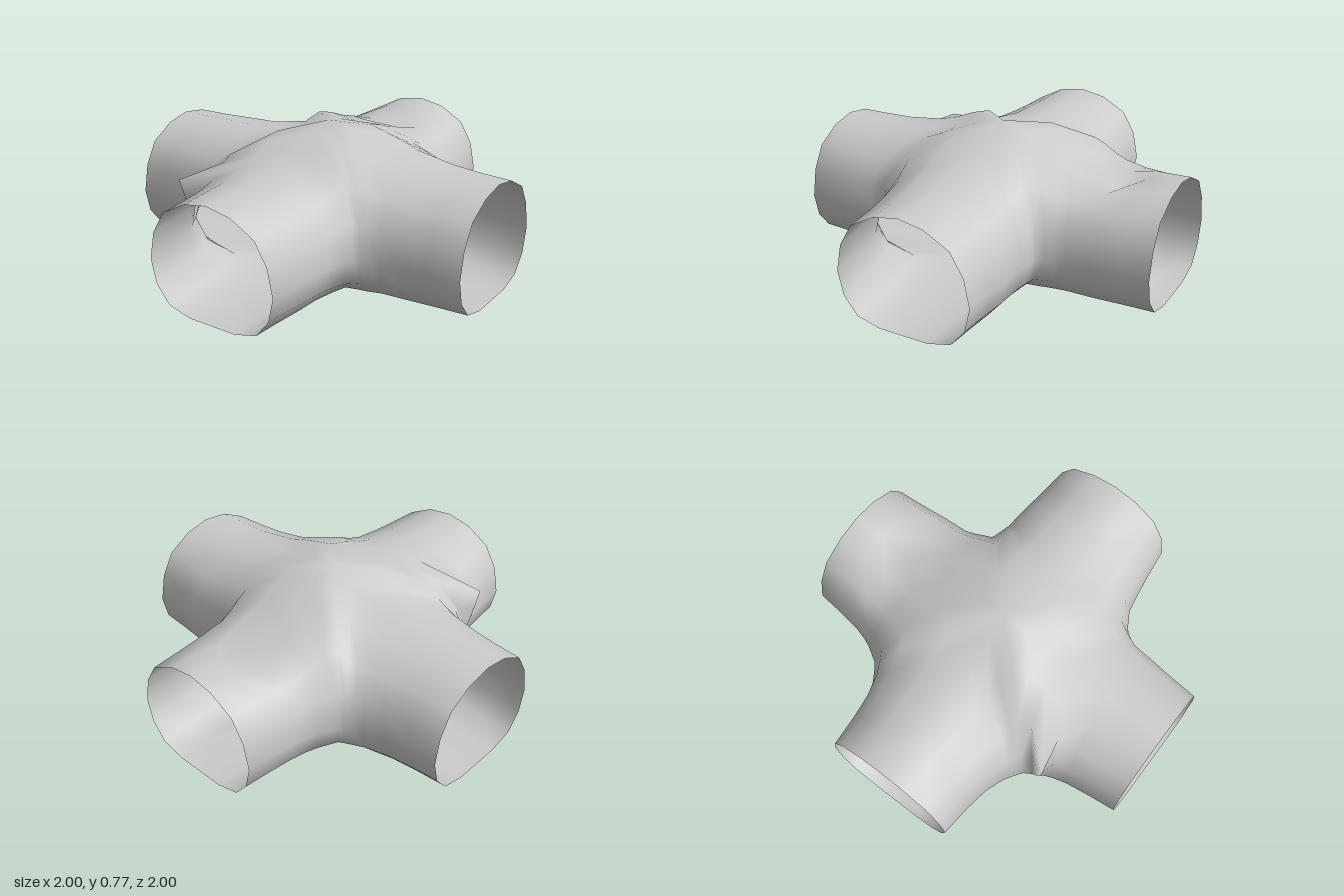
import * as THREE from 'three';
import { mergeGeometries, mergeVertices } from 'three/addons/utils/BufferGeometryUtils.js';

// half cross-section of a tunnel, [half width, height], from crown to floor centre
const PROFILE = [[0, 0.63], [0.14, 0.605], [0.275, 0.53], [0.345, 0.41], [0.375, 0.26],
  [0.345, 0.13], [0.27, 0.035], [0.14, 0], [0, 0]];

// distances from the centre along each arm, and the crown height there
const DIST = [1, 0.82, 0.66, 0.4, 0.27, 0.13, 0];
const CROWN = {
  left: [0.63, 0.632, 0.64, 0.68, 0.715, 0.745, 0.77],
  right: [0.63, 0.635, 0.642, 0.65, 0.67, 0.69, 0.77],
  front: [0.63, 0.632, 0.635, 0.66, 0.69, 0.74, 0.77],
  back: [0.63, 0.61, 0.53, 0.655, 0.69, 0.74, 0.77],
};

// plan of the widest wall line around each corner, [|x|, |z|], from side arm to front/back arm
const SMOOTH = [[1, 0.375], [0.83, 0.39], [0.7, 0.41], [0.6, 0.445], [0.56, 0.47], [0.53, 0.49], [0.505, 0.51],
  [0.48, 0.55], [0.45, 0.6], [0.43, 0.65], [0.41, 0.72], [0.39, 0.86], [0.375, 1]];
const ROUND = [[1, 0.37], [0.83, 0.39], [0.7, 0.41], [0.59, 0.43], [0.54, 0.46], [0.51, 0.475], [0.485, 0.495],
  [0.46, 0.53], [0.44, 0.56], [0.42, 0.61], [0.41, 0.7], [0.39, 0.85], [0.375, 1]];
const TIGHT = [[1, 0.375], [0.83, 0.39], [0.7, 0.405], [0.55, 0.413], [0.52, 0.42], [0.48, 0.43], [0.455, 0.44],
  [0.44, 0.475], [0.42, 0.52], [0.405, 0.57], [0.4, 0.7], [0.385, 0.85], [0.375, 1]];

const CORNERS = [
  { sx: 1, sz: 1, path: ROUND },
  { sx: 1, sz: -1, path: TIGHT },
  { sx: -1, sz: -1, path: SMOOTH },
  // rock bulge on one corner: "row,column" -> moved point
  { sx: -1, sz: 1, path: SMOOTH, bulge: { '2,8': [0.51, 0.52, 0.62], '3,8': [0.5, 0.41, 0.59] } },
];

// one quarter of the junction: the half profile swept round a corner
function cornerGeometry({ sx, sz, path, bulge = {} }) {
  const pos = [], index = [];
  const n = path.length, mid = DIST.length - 1;
  PROFILE.forEach(([u, h], i) => {
    const t = u / 0.375;
    path.forEach(([ox, oz], k) => {
      const onSide = k <= mid;
      const j = onSide ? k : n - 1 - k;
      const arm = onSide ? (sx > 0 ? 'left' : 'right') : (sz > 0 ? 'front' : 'back');
      const rise = CROWN[arm][j] - 0.63;
      // a raised crown lifts the whole vault, a sunken one only its middle
      const weight = rise > 0 ? (h / 0.63) ** 3 : i < 4 ? Math.max(0, 1 - 1.5 * t) : 0;
      let x = THREE.MathUtils.lerp(onSide ? DIST[j] : 0, ox, t);
      let z = THREE.MathUtils.lerp(onSide ? 0 : DIST[j], oz, t);
      let y = h + rise * weight;
      // low hump in the floor of the back arm
      if (arm === 'back' && j === 2 && i === PROFILE.length - 1) y = 0.07;
      if (bulge[`${i},${k}`]) [x, y, z] = bulge[`${i},${k}`];
      // keep the arm ends flat
      if (k === 0) x = 1;
      if (k === n - 1) z = 1;
      pos.push(sx * x, y, sz * z);
      if (i && k) {
        const d = i * n + k, c = d - 1, b = d - n, a = b - 1;
        if (sx * sz > 0) index.push(a, b, c, b, d, c);
        else index.push(a, c, b, b, c, d);
      }
    });
  });
  const g = new THREE.BufferGeometry();
  g.setAttribute('position', new THREE.Float32BufferAttribute(pos, 3));
  g.setIndex(index);
  return g;
}

export function createModel() {
  const group = new THREE.Group();
  group.name = 'tunnelCrossing';

  // weld the four quarters into one smooth open shell
  const shell = mergeVertices(mergeGeometries(CORNERS.map(cornerGeometry)), 1e-3);
  shell.computeVertexNormals();
  const mesh = new THREE.Mesh(shell,
    new THREE.MeshStandardMaterial({ color: 0xcccccc, side: THREE.DoubleSide }));
  mesh.name = 'tunnelShell';
  group.add(mesh);
  return group;
}
